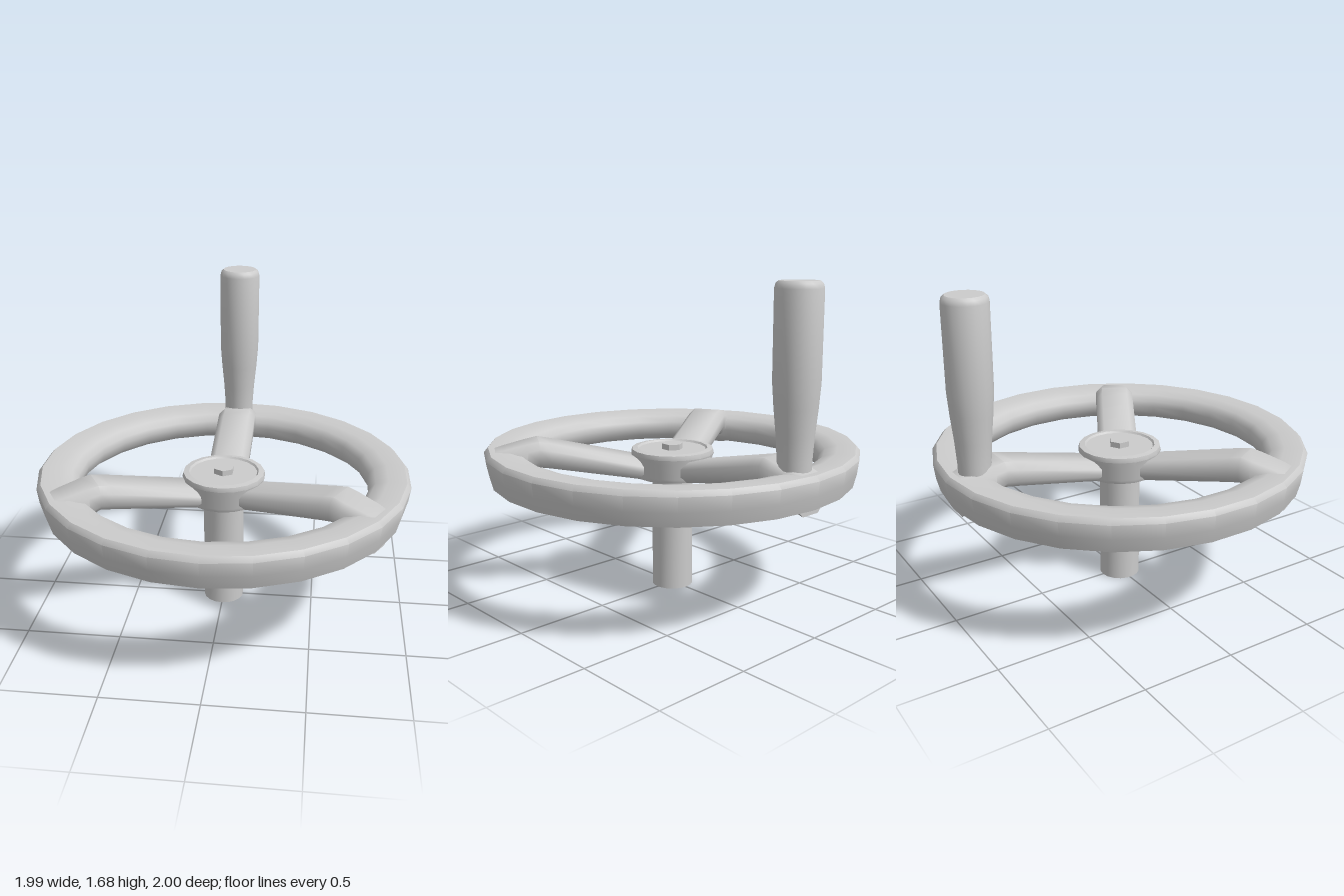
import * as THREE from 'three';
import { toCreasedNormals } from 'three/addons/utils/BufferGeometryUtils.js';

const material = new THREE.MeshStandardMaterial({ color: 0xcccccc });

function part(name, geometry, crease = 0.7) {
  const mesh = new THREE.Mesh(toCreasedNormals(geometry, crease), material);
  mesh.name = name;
  return mesh;
}

// Turned part from [radius, height] pairs, listed from the bottom upwards
function turned(name, profile, sides, crease) {
  const points = profile.map(([r, y]) => new THREE.Vector2(r, y));
  return part(name, new THREE.LatheGeometry(points, sides), crease);
}

// Arched arm lofted outwards along +z through chamfered sections
function spokeGeometry() {
  // distance from axis, top, bottom, half width
  const sections = [
    [0.10, 0.71, 0.605, 0.11],
    [0.66, 0.838, 0.706, 0.11],
    [0.72, 0.85, 0.715, 0.11],
    [0.78, 0.838, 0.685, 0.11],
    [0.90, 0.81, 0.625, 0.102],
    [0.95, 0.798, 0.602, 0.09],
  ];
  const positions = [];
  const index = [];
  const n = 8;
  for (const [z, top, bottom, w] of sections) {
    const cx = 0.035;
    const cy = 0.035;
    const ring = [
      [w, bottom + cy], [w, top - cy], [w - cx, top], [cx - w, top],
      [-w, top - cy], [-w, bottom + cy], [cx - w, bottom], [w - cx, bottom],
    ];
    for (const [x, y] of ring) positions.push(x, y, z);
  }
  for (let i = 0; i < sections.length - 1; i++) {
    for (let j = 0; j < n; j++) {
      const a = i * n + j;
      const b = i * n + (j + 1) % n;
      index.push(a, b, b + n, a, b + n, a + n);
    }
  }
  const last = (sections.length - 1) * n;
  for (let j = 1; j < n - 1; j++) {
    index.push(0, j + 1, j, last, last + j, last + j + 1);
  }
  const geometry = new THREE.BufferGeometry();
  geometry.setAttribute('position', new THREE.Float32BufferAttribute(positions, 3));
  geometry.setIndex(index);
  return geometry;
}

export function createModel() {
  const model = new THREE.Group();
  model.name = 'handwheel';

  // Rim: rounded section with a slightly tapered outer wall
  model.add(turned('rim', [
    [0.88, 0.63], [0.972, 0.63], [0.99, 0.7], [1.0, 0.775], [0.978, 0.8],
    [0.88, 0.8], [0.815, 0.783], [0.785, 0.75], [0.78, 0.715],
    [0.79, 0.67], [0.825, 0.638], [0.88, 0.63],
  ], 26, 0.85));

  // Hub with a shallow recessed top
  model.add(turned('hub', [
    [0, 0.62], [0.205, 0.62], [0.213, 0.64], [0.213, 0.715], [0.225, 0.745],
    [0.22, 0.768], [0.19, 0.772], [0.182, 0.762], [0, 0.762],
  ], 18, 0.6));

  // Centre bolt
  const bolt = part('bolt', new THREE.CylinderGeometry(0.057, 0.057, 0.04, 6), 0.3);
  bolt.position.y = 0.772;
  model.add(bolt);

  // Shaft below the hub
  const shaft = part('shaft', new THREE.CylinderGeometry(0.11, 0.11, 0.64, 18));
  shaft.position.y = 0.32;
  model.add(shaft);

  // Three spokes, one pointing to the back
  const spoke = spokeGeometry();
  for (let i = 0; i < 3; i++) {
    const arm = part('spoke', spoke, 0.85);
    arm.rotation.y = Math.PI + i * Math.PI * 2 / 3;
    model.add(arm);
  }

  // Crank grip standing on the rear spoke
  const grip = turned('grip', [
    [0, 0.76], [0.083, 0.76], [0.084, 0.85], [0.092, 0.97], [0.105, 1.1],
    [0.114, 1.22], [0.115, 1.65], [0.109, 1.673], [0.095, 1.685], [0, 1.685],
  ], 20);
  grip.position.z = -0.845;
  model.add(grip);

  return model;
}
